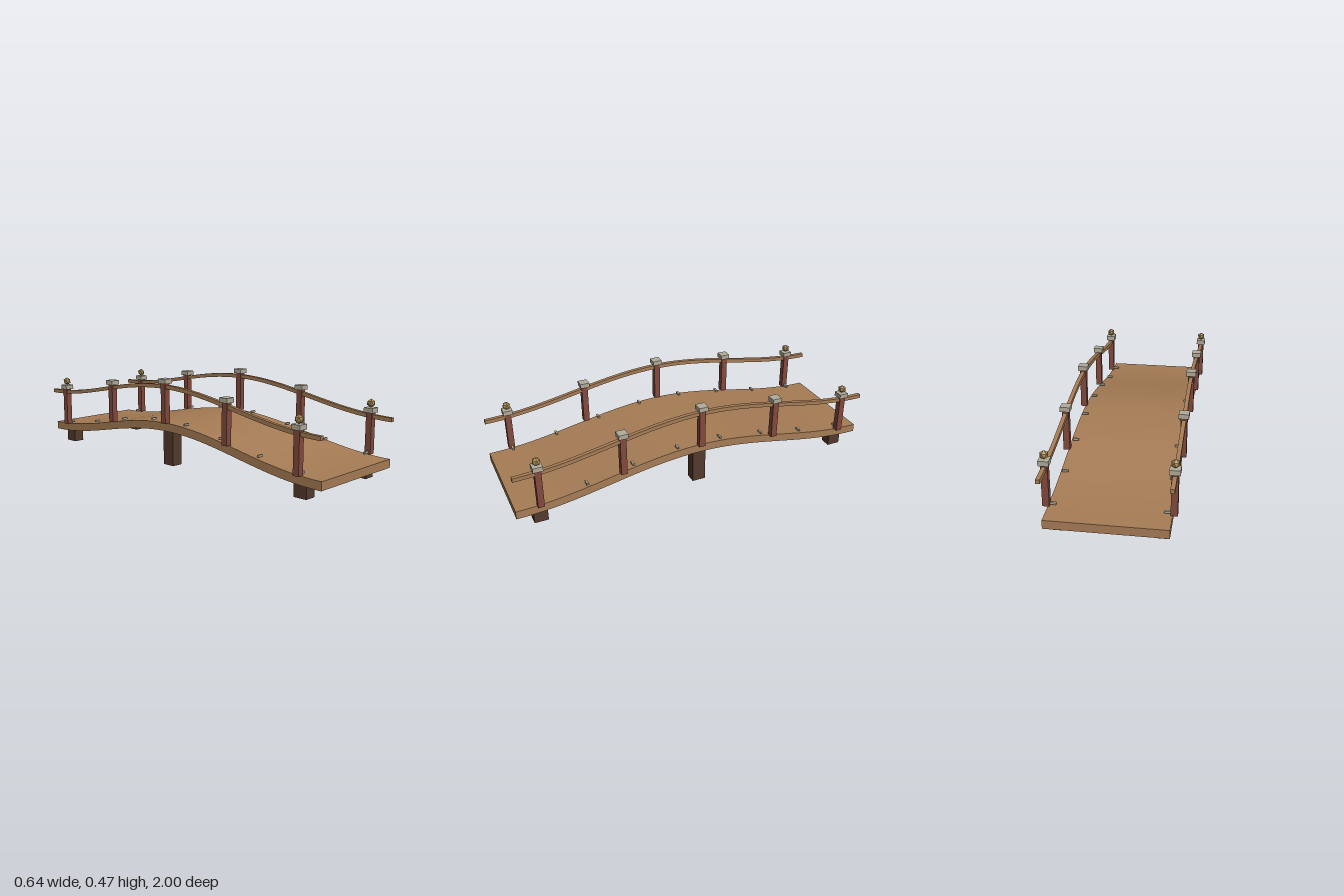
import * as THREE from 'three';

const mat = (name, color) => {
  const m = new THREE.MeshStandardMaterial({ color });
  m.name = name;
  return m;
};

// Height of the walking surface along the bridge
const deckTop = (z) => 0.1675 + 0.0625 * Math.cos(Math.PI * z);

// Long beam whose vertices follow the arch; base is its underside relative to the deck
function archedBeam(width, height, base) {
  const g = new THREE.BoxGeometry(width, height, 2, 1, 1, 40);
  const p = g.attributes.position;
  for (let i = 0; i < p.count; i++) {
    p.setY(i, p.getY(i) + height / 2 + base + deckTop(p.getZ(i)));
  }
  g.computeVertexNormals();
  return g;
}

export function createModel() {
  const wood = mat('plank wood', 0xa67c55);
  const red = mat('red post wood', 0x824a3d);
  const dark = mat('dark support wood', 0x543a2d);
  const stone = mat('pale stone', 0xb1ab9a);
  const gold = mat('lantern gold', 0xa88a50);

  const bridge = new THREE.Group();
  bridge.name = 'archedBridge';
  const add = (name, geometry, material, x = 0, y = 0, z = 0) => {
    const mesh = new THREE.Mesh(geometry, material);
    mesh.name = name;
    mesh.position.set(x, y, z);
    bridge.add(mesh);
  };

  // Walkway
  add('deck', archedBeam(0.578, 0.044, -0.044), wood);

  const railGeo = archedBeam(0.021, 0.021, 0.186);
  const postGeo = new THREE.BoxGeometry(0.033, 0.214, 0.033);
  const capGeo = new THREE.BoxGeometry(0.051, 0.025, 0.051);
  const pegGeo = new THREE.BoxGeometry(0.031, 0.0105, 0.011);
  const lanternGeo = new THREE.IcosahedronGeometry(0.0225, 0);
  lanternGeo.rotateZ(-Math.atan(2 / (1 + Math.sqrt(5)))); // one corner straight up

  for (const side of [-1, 1]) {
    const x = side * 0.2965;

    // Handrail
    add('handrail', railGeo, wood, x);

    // Posts with caps, lanterns on the end posts
    for (const z of [-0.875, -0.4375, 0, 0.4375, 0.875]) {
      const y = deckTop(z);
      add('post', postGeo, red, x, y + 0.108, z);
      add('postCap', capGeo, stone, x, y + 0.2265, z);
      if (Math.abs(z) > 0.8) add('lantern', lanternGeo, gold, x, y + 0.261, z);
    }

    // Small pegs along the deck edge
    for (let i = 0; i < 8; i++) {
      const z = -0.875 + i * 0.25;
      add('deckPeg', pegGeo, stone, side * 0.2655, deckTop(z) + 0.0115, z);
    }

    // Supports below the deck
    for (const z of [-0.875, 0, 0.875]) {
      const h = deckTop(z) - 0.038;
      add('support', new THREE.BoxGeometry(0.061, h, 0.073), dark, side * 0.247, h / 2, z);
    }
  }
  return bridge;
}
